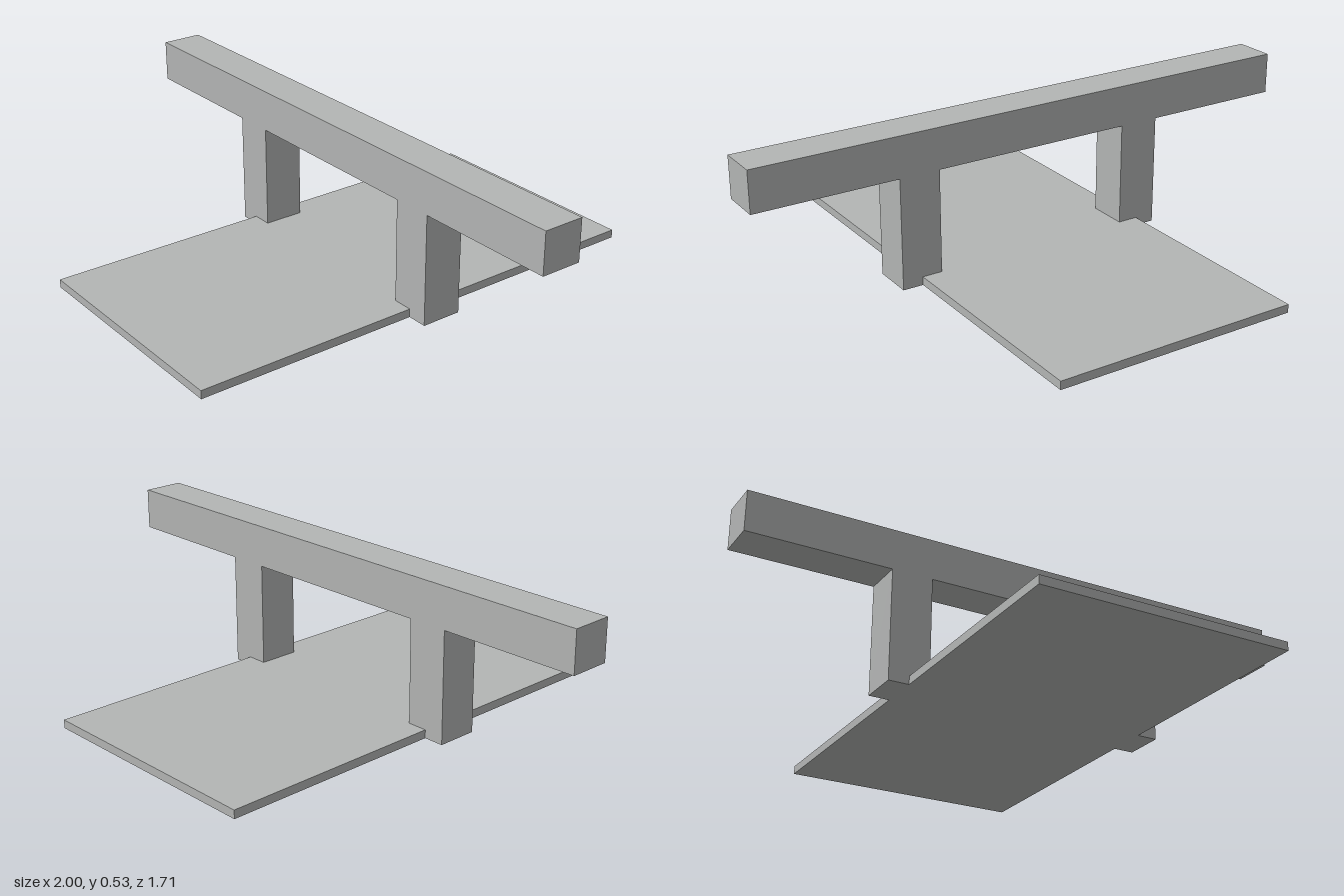
import * as THREE from 'three';

export function createModel() {
  const model = new THREE.Group();
  model.name = 'beamOnPosts';

  const grey = new THREE.MeshStandardMaterial({ color: 0xb3b5b4 });
  grey.name = 'grey';

  const beamSize = 0.143;
  const postHeight = 0.386;

  // Adds a box whose underside sits at the given height
  function addBox(name, width, height, depth, x, bottom) {
    const mesh = new THREE.Mesh(new THREE.BoxGeometry(width, height, depth), grey);
    mesh.name = name;
    mesh.position.set(x, bottom + height / 2, 0);
    model.add(mesh);
  }

  // Thin ground slab running front to back
  addBox('baseSlab', 0.857, 0.029, 1.714, 0, 0);

  // Square posts straddling the slab's edges
  for (const [name, side] of [['leftPost', 1], ['rightPost', -1]]) {
    addBox(name, beamSize, postHeight, beamSize, side * 0.4285, 0);
  }

  // Long crossbeam resting on the posts
  addBox('crossbeam', 2, beamSize, beamSize, 0, postHeight);

  return model;
}
